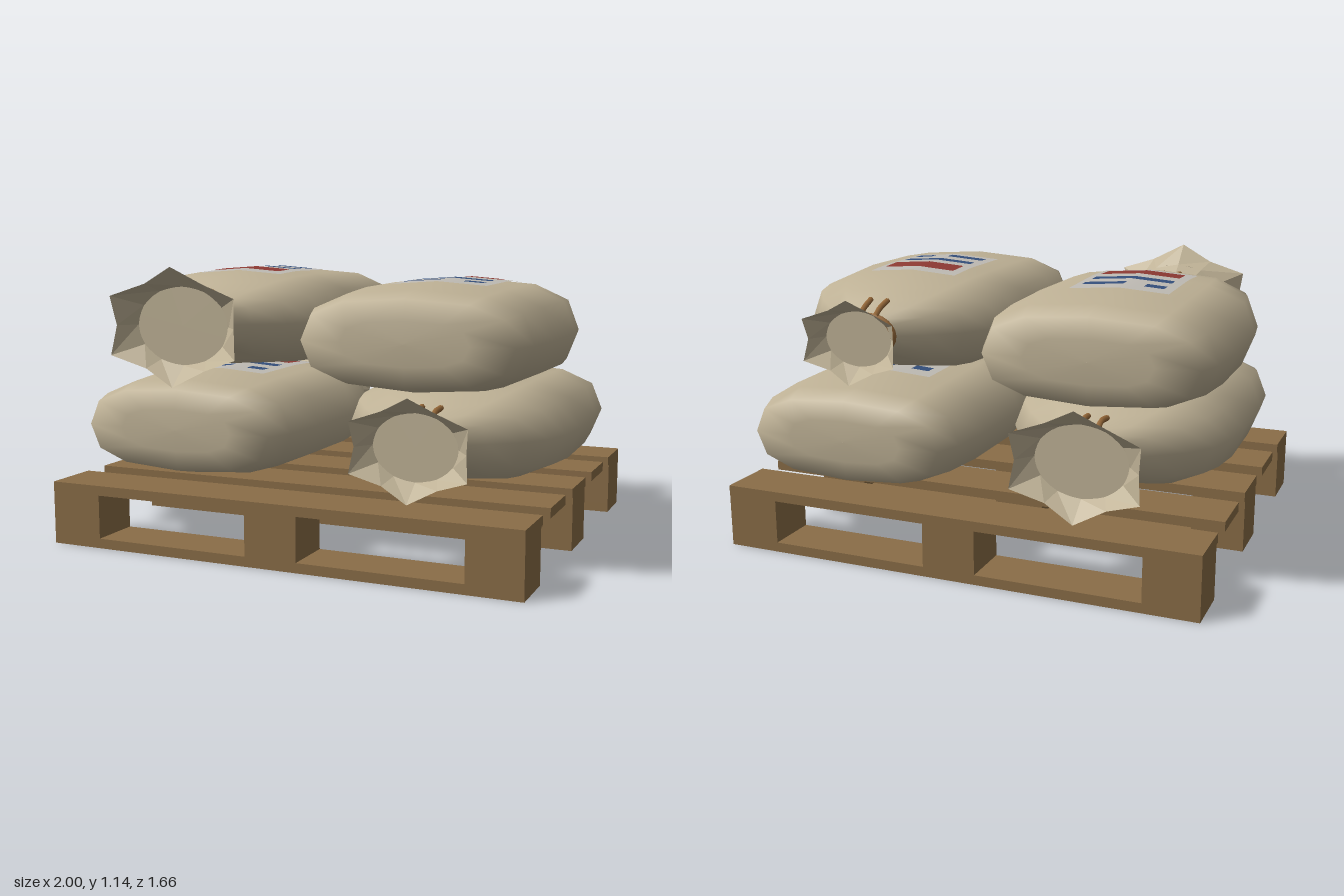
import * as THREE from 'three';

const mat = (name, color, side = THREE.FrontSide) => {
  const m = new THREE.MeshStandardMaterial({ color, side });
  m.name = name;
  return m;
};
const M = {
  sack: mat('sackCloth', 0xbfb296, THREE.DoubleSide),
  wood: mat('palletWood', 0x8a6d47),
  rope: mat('rope', 0x96693a),
  paper: mat('labelPaper', 0xc0bcb5),
  red: mat('labelRed', 0x8e3a33),
  blue: mat('labelBlue', 0x344f7c),
};

function add(parent, name, geometry, material, x = 0, y = 0, z = 0) {
  const mesh = new THREE.Mesh(geometry, material);
  mesh.name = name;
  mesh.position.set(x, y, z);
  parent.add(mesh);
  return mesh;
}

const SEG = 12, SQUARE = 0.75;
const pow = (v) => Math.sign(v) * Math.abs(v) ** SQUARE;

// Skin over rings of points, running from low z to high z
function loft(rings) {
  const pos = rings.flat(2), index = [];
  for (let i = 0; i < rings.length - 1; i++) {
    for (let j = 0; j < SEG; j++) {
      const k = (j + 1) % SEG;
      const a = i * SEG + j, b = i * SEG + k, c = a + SEG, d = b + SEG;
      index.push(a, b, d, a, d, c);
    }
  }
  const g = new THREE.BufferGeometry();
  g.setAttribute('position', new THREE.Float32BufferAttribute(pos, 3));
  g.setIndex(index);
  return g;
}
const ring = (fn) => Array.from({ length: SEG }, (_, j) => fn((j / SEG) * Math.PI * 2, j));

// Body sections: z, half width, half height
const SECTIONS = [
  [-0.75, 0.001, 0.001], [-0.748, 0.25, 0.085], [-0.735, 0.415, 0.165], [-0.62, 0.455, 0.192],
  [-0.4, 0.475, 0.207], [-0.05, 0.48, 0.212], [0.12, 0.46, 0.205], [0.25, 0.425, 0.19],
  [0.36, 0.345, 0.16], [0.45, 0.23, 0.118],
];

// Height of the sack's upper surface, used to lay the label on it
function topHeight(x, z) {
  const i = SECTIONS.findIndex((s, k) => k > 0 && s[0] >= z);
  const [a, b] = [SECTIONS[i - 1], SECTIONS[i]];
  const t = (z - a[0]) / (b[0] - a[0]);
  const rx = a[1] + (b[1] - a[1]) * t, ry = a[2] + (b[2] - a[2]) * t;
  const u = Math.abs(x) / rx, edgeX = pow(0.5), edgeY = pow(Math.sin(Math.PI / 3));
  return ry * (1 + (edgeY - 1) * u / edgeX);
}

// Thin printed patch that follows the sack
function patch(bag, name, material, x, z, w, d, lift) {
  const g = new THREE.PlaneGeometry(w, d, 8, 8).rotateX(-Math.PI / 2).translate(x, 0, z);
  const p = g.attributes.position;
  for (let i = 0; i < p.count; i++) p.setY(i, topHeight(p.getX(i), p.getZ(i)) + lift);
  g.computeVertexNormals();
  add(bag, name, g, material);
}

// One sack lying along z with its tied neck towards +z
function makeBag(name, neck) {
  const bag = new THREE.Group();
  bag.name = name;
  const nx = neck, ny = neck * 0.75, tieZ = 0.53;

  const body = loft([...SECTIONS, [tieZ, nx * 0.95, ny * 0.95]].map(([z, rx, ry]) =>
    ring((a) => [rx * pow(Math.cos(a)), ry * pow(Math.sin(a)), z])));
  body.computeVertexNormals();
  add(bag, 'sackBody', body, M.sack);

  // Gathered mouth: six folds opening out from the tie
  const mouth = loft([
    ring((a) => [nx * 0.92 * Math.cos(a), ny * 0.92 * Math.sin(a), tieZ]),
    ring((a) => [nx * 1.38 * Math.cos(a), ny * 1.42 * Math.sin(a), 0.62]),
    ring((a, j) => {
      const f = j % 2 ? 1 : 0.82;
      return [nx * 2.15 * f * Math.cos(a), ny * 2.12 * f * Math.sin(a), j % 2 ? 0.715 : 0.69];
    }),
  ]).toNonIndexed();
  mouth.computeVertexNormals();
  add(bag, 'sackMouth', mouth, M.sack);
  const plug = new THREE.CircleGeometry(1, 24).scale(nx * 1.36, ny * 1.4, 1);
  add(bag, 'mouthClosure', plug, M.sack, 0, 0, 0.622);

  // Rope ring and its two loose ends
  const tie = new THREE.TorusGeometry(1, 0.13, 8, 24).scale(nx, ny, 0.12);
  add(bag, 'ropeTie', tie, M.rope, 0, 0, tieZ);
  for (const x of [-0.035, 0.035]) {
    const path = new THREE.CatmullRomCurve3([
      new THREE.Vector3(x, ny, tieZ + 0.01),
      new THREE.Vector3(x, ny + 0.025, tieZ - 0.03),
      new THREE.Vector3(x * 1.1, 0.128, tieZ - 0.095),
    ]);
    add(bag, 'ropeEnd', new THREE.TubeGeometry(path, 6, 0.012, 6), M.rope);
  }

  // Label with plain printed bars
  const lz = -0.12;
  patch(bag, 'label', M.paper, 0, lz, 0.4, 0.49, 0.005);
  patch(bag, 'redBar', M.red, 0, lz + 0.125, 0.33, 0.115, 0.009);
  patch(bag, 'blueBar', M.blue, 0, lz - 0.028, 0.33, 0.055, 0.009);
  patch(bag, 'blueShortBar', M.blue, -0.125, lz - 0.153, 0.08, 0.055, 0.009);
  patch(bag, 'blueMediumBar', M.blue, 0.083, lz - 0.153, 0.17, 0.055, 0.009);
  return bag;
}

function makePallet() {
  const pallet = new THREE.Group();
  pallet.name = 'pallet';
  const box = (name, w, h, d, x, y, z) => add(pallet, name, new THREE.BoxGeometry(w, h, d), M.wood, x, y, z);
  for (const z of [-0.71, -0.355, 0, 0.355, 0.71]) box('topBoard', 2, 0.04, 0.238, 0, 0.24, z);
  for (const z of [-0.72, 0, 0.72]) {
    box('bottomBoard', 2, 0.04, 0.216, 0, 0.02, z);
    for (const x of [-0.89, 0, 0.89]) box('block', 0.22, 0.18, 0.216, x, 0.13, z);
  }
  return pallet;
}

export function createModel() {
  const model = new THREE.Group();
  model.name = 'loadedPallet';
  model.add(makePallet());
  // name, neck radius, x, y, z, turn
  const bags = [
    ['lowerRightSack', 0.14, -0.48, 0.49, -0.03, Math.PI],
    ['lowerLeftSack', 0.126, 0.51, 0.48, 0.01, 0.01],
    ['upperRightSack', 0.152, -0.515, 0.903, -0.01, 0.025],
    ['upperLeftSack', 0.108, 0.495, 0.88, 0, Math.PI + 0.02],
  ];
  for (const [name, neck, x, y, z, turn] of bags) {
    const bag = makeBag(name, neck);
    bag.position.set(x, y, z);
    bag.rotation.y = turn;
    model.add(bag);
  }
  return model;
}
